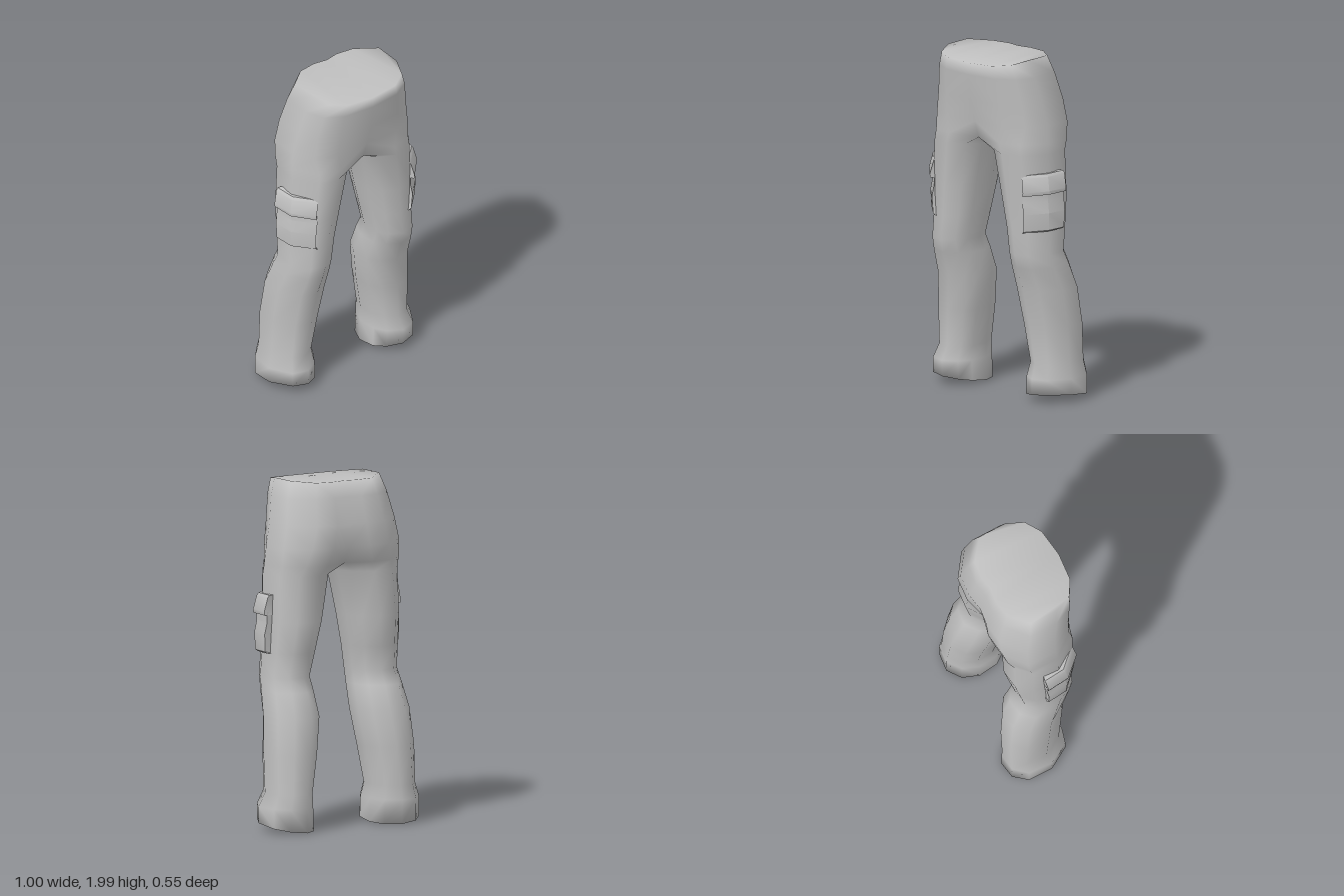
import * as THREE from 'three';
import { mergeVertices, toCreasedNormals, mergeGeometries } from 'three/addons/utils/BufferGeometryUtils.js';

// Cross-section outlines (u: inner to outer, v: back to front), from the front inner corner round the outside
const TORSO = [[0, 1], [.55, .96], [.86, .83], [1, .6], [1, .24], [.62, .03], [.27, 0], [0, .03], [0, .35], [0, .7]];
const LEG = [[.18, .88], [.45, 1], [.76, .93], [1, .6], [.97, .22], [.74, .03], [.4, 0], [.13, .15], [0, .4], [.03, .7]];
const SEAM = [0, 7, 8, 9];

// y, inner x, outer x, front z, back z, blend from torso to leg outline
const RINGS = [
  [2.00, 0, .30, .275, -.18, 0],
  [1.90, 0, .335, .265, -.21, 0],
  [1.75, 0, .365, .245, -.25, 0],
  [1.62, 0, .395, .225, -.25, .3],
  [1.52, 0, .405, .22, -.23, .8],
  [1.46, .04, .41, .215, -.2, 1],
  [1.20, .095, .415, .2, -.205, 1],
  [1.02, .13, .42, .185, -.175, 1],
  [.88, .155, .425, .185, -.15, 1],
  [.80, .15, .435, .165, -.19, 1],
  [.66, .14, .455, .115, -.24, 1],
  [.45, .175, .47, .09, -.265, 1],
  [.23, .215, .47, .07, -.27, 1],
  [.15, .205, .5, .105, -.275, 1],
  [.04, .2, .5, .105, -.275, 1],
];

// Joins closed rings of points, capping both ends; side -1 mirrors in x
function loft(rings, side) {
  const n = rings[0].length, pos = [];
  const tri = (a, b, c) => {
    if (Math.max(a[0], b[0], c[0]) < 1e-6) return; // nothing on the centre plane
    for (const p of side > 0 ? [a, b, c] : [a, c, b]) pos.push(p[0] * side, p[1], p[2]);
  };
  const quad = (a, b, c, d) => { tri(a, b, c); tri(a, c, d); };
  for (let r = 0; r < rings.length - 1; r++) {
    const up = rings[r], low = rings[r + 1];
    for (let i = 0; i < n; i++) {
      const j = (i + 1) % n;
      quad(up[i], low[i], low[j], up[j]);
    }
  }
  const top = rings[0], end = rings[rings.length - 1];
  for (let k = 0; k < n / 2 - 1; k++) {
    const a = (n - 1 + k) % n, b = k, c = n - 3 - k, d = n - 2 - k;
    quad(top[a], top[b], top[c], top[d]);
    quad(end[d], end[c], end[b], end[a]);
  }
  const geo = new THREE.BufferGeometry();
  geo.setAttribute('position', new THREE.Float32BufferAttribute(pos, 3));
  return geo;
}

// Points of one trouser ring, with a sloping waist and hem
function trouserRing([y, xi, xo, zf, zb, blend], index) {
  return TORSO.map((t, i) => {
    let u = THREE.MathUtils.lerp(t[0], LEG[i][0], blend);
    const v = THREE.MathUtils.lerp(t[1], LEG[i][1], blend);
    if (xi === 0 && SEAM.includes(i)) u = 0;
    let py = y;
    if (index === 0) py = 2 - .028 * Math.max(0, v - .6) / .4 - (v < .2 ? .01 : 0);
    if (index === RINGS.length - 1) py = .03 * u + .045 * v;
    return [xi + u * (xo - xi), py, zb + v * (zf - zb)];
  });
}

// Pocket outline hugging the outer front of the thigh
const POCKET = [[.315, .155], [.34, .192], [.442, .08], [.453, -.052], [.39, -.05], [.36, .05]];
function pocketLoft(levels, side) {
  return toCreasedNormals(loft(levels.map(([y, out, shrink]) => POCKET.map(([x, z], i) => {
    const o = i > 0 && i < 4 ? out : 0;
    return [x + o * .77, y + (i < 2 ? -.01 : 0), .07 + (z - .07) * shrink + o * .4];
  })), side), .7);
}

export function createModel() {
  const group = new THREE.Group();
  const cloth = new THREE.MeshStandardMaterial({ color: 0xc0c0c0, side: THREE.DoubleSide });
  cloth.name = 'grey cloth';
  const add = (name, geo) => {
    const mesh = new THREE.Mesh(geo, cloth);
    mesh.name = name;
    group.add(mesh);
  };

  // Trousers: two mirrored halves welded along the centre
  const rings = RINGS.map(trouserRing);
  const trousers = mergeVertices(mergeGeometries([loft(rings, 1), loft(rings, -1)]), 1e-4);
  trousers.computeVertexNormals();
  add('trousers', trousers);

  // Thigh pockets with overhanging flaps
  for (const [side, label] of [[1, 'left'], [-1, 'right']]) {
    add(label + 'PocketBag', pocketLoft([[1.26, -.012, .94], [1.2, -.012, .94], [1.13, .004, .93], [1.03, -.002, .9], [1.02, -.02, .9]], side));
    add(label + 'PocketFlap', pocketLoft([[1.355, -.025, .96], [1.34, -.012, .98], [1.26, .012, 1], [1.24, .008, 1]], side));
  }
  return group;
}
